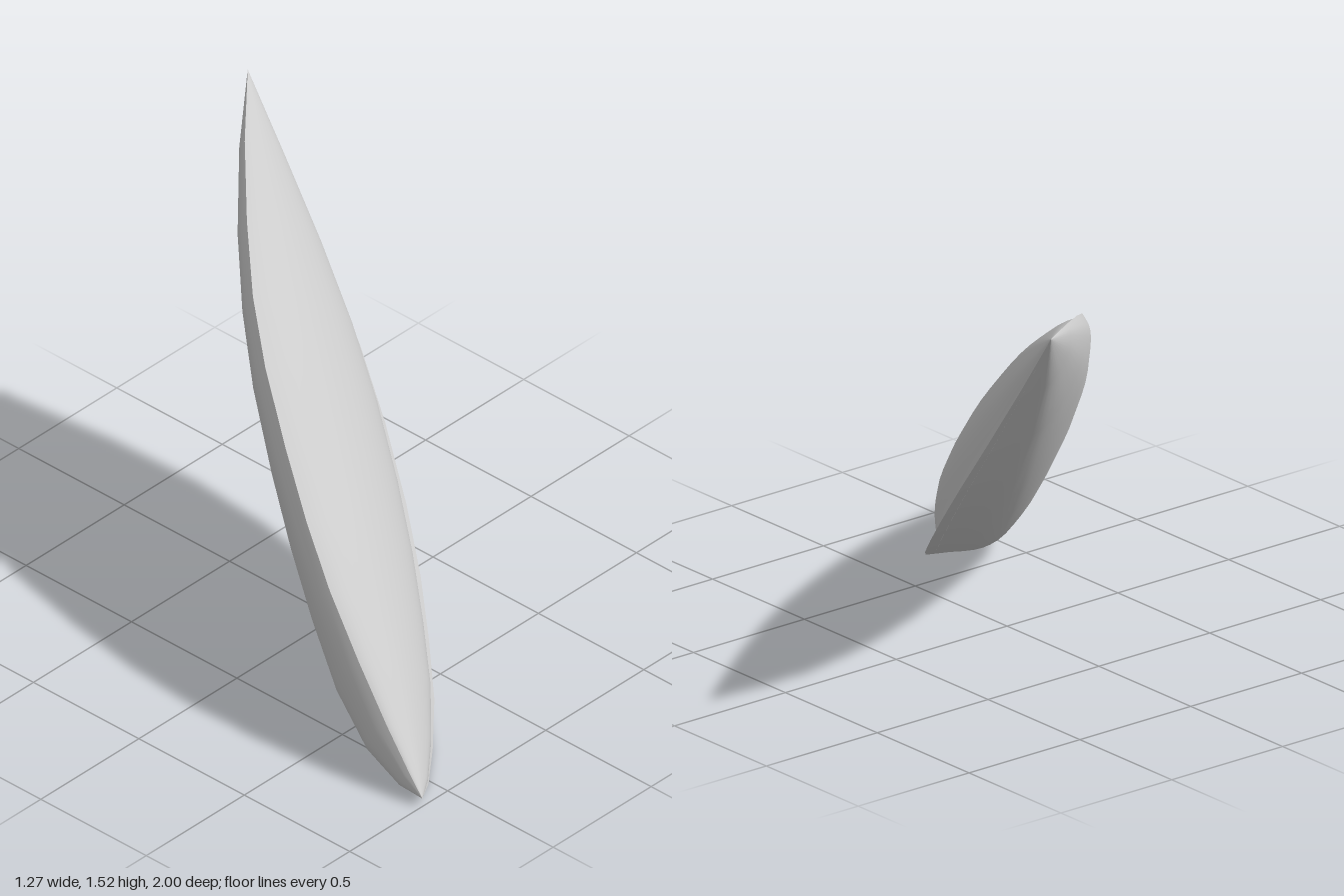
import * as THREE from 'three';

// Stations along the leaf: [fraction of length, left width, right width, depth]
const STATIONS = [
  [0, 0, 0, 0],
  [0.03, 0.045, 0.1, 0.35],
  [0.09, 0.125, 0.225, 0.75],
  [0.17, 0.217, 0.345, 0.98],
  [0.26, 0.305, 0.415, 1.02],
  [0.35, 0.355, 0.465, 1.02],
  [0.45, 0.38, 0.485, 1],
  [0.56, 0.388, 0.467, 0.93],
  [0.66, 0.355, 0.41, 0.82],
  [0.77, 0.268, 0.3, 0.67],
  [0.89, 0.145, 0.145, 0.38],
  [1, 0, 0, 0],
];
const FULL_LEFT = 0.39;
const FULL_RIGHT = 0.485;

// Widest cross-sections as [across, outward] points, counter-clockwise
const FRONT_PROFILE = [
  [0.455, -0.07], [0.39, -0.03], [0.3, 0.04], [0.2, 0.085], [0.05, 0.105],
  [-0.12, 0.095], [-0.25, 0.06], [-0.33, 0.025], [-0.385, -0.015],
];
const BACK_PROFILE = [
  [-0.39, -0.005], [-0.365, -0.065], [-0.31, -0.115], [-0.22, -0.165], [-0.1, -0.2],
  [0.05, -0.22], [0.2, -0.215], [0.3, -0.185], [0.37, -0.14], [0.43, -0.09], [0.485, -0.042],
];

// The leaf leans from the low front tip to the high back tip
const START = new THREE.Vector3(-0.63, 0.04, 1);
const END = new THREE.Vector3(0.63, 1.53, -1);
const along = END.clone().sub(START).normalize();
const across = new THREE.Vector3(along.y, -along.x, 0).normalize();
const outward = across.clone().cross(along);

// Sweeps a cross-section from tip to tip, scaled at every station
function makeShell(name, profile, segments = 24) {
  const curve = new THREE.SplineCurve(profile.map(([u, v]) => new THREE.Vector2(u, v)));
  const section = curve.getPoints(segments);
  const row = section.length;
  const positions = [];
  const index = [];

  STATIONS.forEach(([t, left, right, depth], i) => {
    const rise = (left + right) / (FULL_LEFT + FULL_RIGHT);
    section.forEach(({ x, y }, j) => {
      const u = x * (x > 0 ? right / FULL_RIGHT : left / FULL_LEFT);
      const v = y * (y > 0 ? rise : depth);
      const p = START.clone().lerp(END, t).addScaledVector(across, u).addScaledVector(outward, v);
      positions.push(p.x, p.y, p.z);
      if (i === STATIONS.length - 1 || j === row - 1) return;
      const a = i * row + j;
      const c = a + row;
      // One triangle per side at the tips, two elsewhere
      if (i > 0) index.push(a, c, a + 1);
      if (i < STATIONS.length - 2) index.push(a + 1, c, c + 1);
    });
  });

  const geometry = new THREE.BufferGeometry();
  geometry.setAttribute('position', new THREE.Float32BufferAttribute(positions, 3));
  geometry.setIndex(index);
  geometry.computeVertexNormals();
  const mesh = new THREE.Mesh(
    geometry,
    new THREE.MeshStandardMaterial({ color: 0xcccccc, side: THREE.DoubleSide })
  );
  mesh.name = name;
  return mesh;
}

export function createModel() {
  const group = new THREE.Group();
  group.name = 'leaf';
  // Cushioned front set inside the rim of the rounded back
  group.add(makeShell('frontCushion', FRONT_PROFILE));
  group.add(makeShell('backShell', BACK_PROFILE));
  return group;
}
